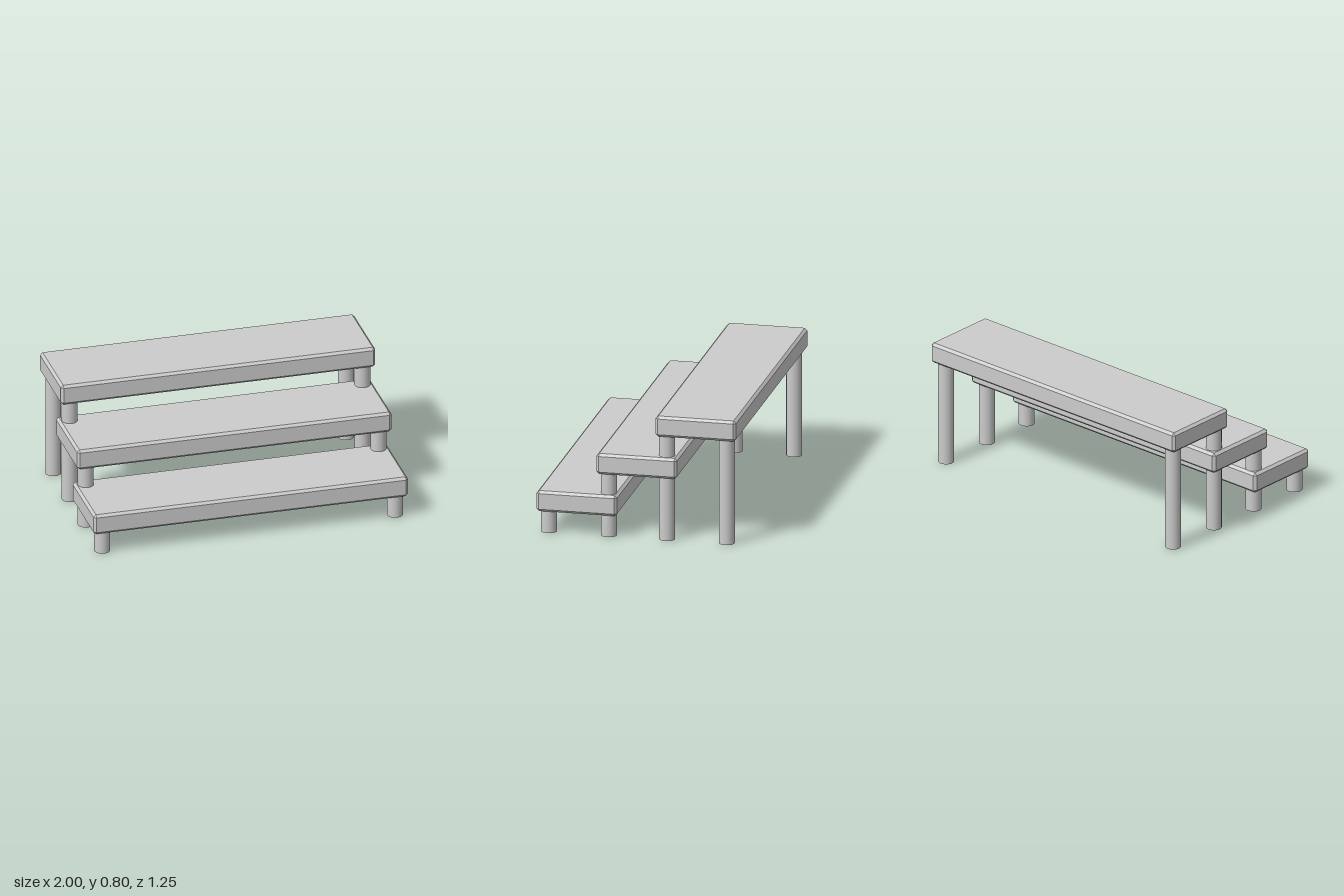
import * as THREE from 'three';

const material = new THREE.MeshStandardMaterial({ color: 0xcccccc, side: THREE.DoubleSide });
const flatMaterial = new THREE.MeshStandardMaterial({ color: 0xcccccc, side: THREE.DoubleSide, flatShading: true });

const WIDTH = 2, DEPTH = 0.505, HEIGHT = 0.132, BEVEL = 0.016;

// Hollow tread: chamfered shell with a closed top and an open underside
function treadGeometry() {
  const hx = WIDTH / 2, hz = DEPTH / 2, b = BEVEL;
  // Eight-point outline, with corners cut by c, shrunk by inset
  const ring = (y, inset, c) => {
    const x = hx - inset, z = hz - inset;
    return [
      [x - c, y, z], [x, y, z - c], [x, y, -z + c], [x - c, y, -z],
      [-x + c, y, -z], [-x, y, -z + c], [-x, y, z - c], [-x + c, y, z],
    ];
  };
  const rings = [
    ring(0, b, 0), ring(b, 0, b), ring(HEIGHT - b, 0, b), ring(HEIGHT, b, 0),
  ];
  const positions = [];
  const triangle = (...points) => points.forEach((p) => positions.push(...p));
  for (let r = 0; r < 3; r++) {
    for (let i = 0; i < 8; i++) {
      const j = (i + 1) % 8;
      const [p, q, s, t] = [rings[r][i], rings[r][j], rings[r + 1][j], rings[r + 1][i]];
      if (r > 0 || i % 2) triangle(p, q, s);
      else triangle(p, s, t);
      if (r === 1 || i % 2) triangle(p, s, t);
    }
  }
  const top = rings[3];
  triangle(top[0], top[2], top[4]);
  triangle(top[0], top[4], top[6]);
  const geometry = new THREE.BufferGeometry();
  geometry.setAttribute('position', new THREE.Float32BufferAttribute(positions, 3));
  geometry.computeVertexNormals();
  return geometry;
}

export function createModel() {
  const model = new THREE.Group();
  const tread = treadGeometry();

  // Three overlapping treads climbing towards the back
  [['lowerTread', 0.14, 0.375], ['middleTread', 0.404, -0.002], ['upperTread', 0.67, -0.373]]
    .forEach(([name, y, z]) => {
      const mesh = new THREE.Mesh(tread, flatMaterial);
      mesh.name = name;
      mesh.position.set(0, y, z);
      model.add(mesh);
    });

  // Mirrored pairs of open tubular legs; inner rows pass through the tread below
  [['frontLeg', 0.142, 0.562], ['frontMiddleLeg', 0.406, 0.186],
    ['backMiddleLeg', 0.672, -0.18], ['backLeg', 0.672, -0.555]]
    .forEach(([name, height, z]) => {
      const geometry = new THREE.CylinderGeometry(0.049, 0.049, height, 32, 1, true);
      for (const side of [-1, 1]) {
        const leg = new THREE.Mesh(geometry, material);
        leg.name = name + (side > 0 ? 'Left' : 'Right');
        leg.position.set(side * 0.931, height / 2, z);
        model.add(leg);
      }
    });

  return model;
}
